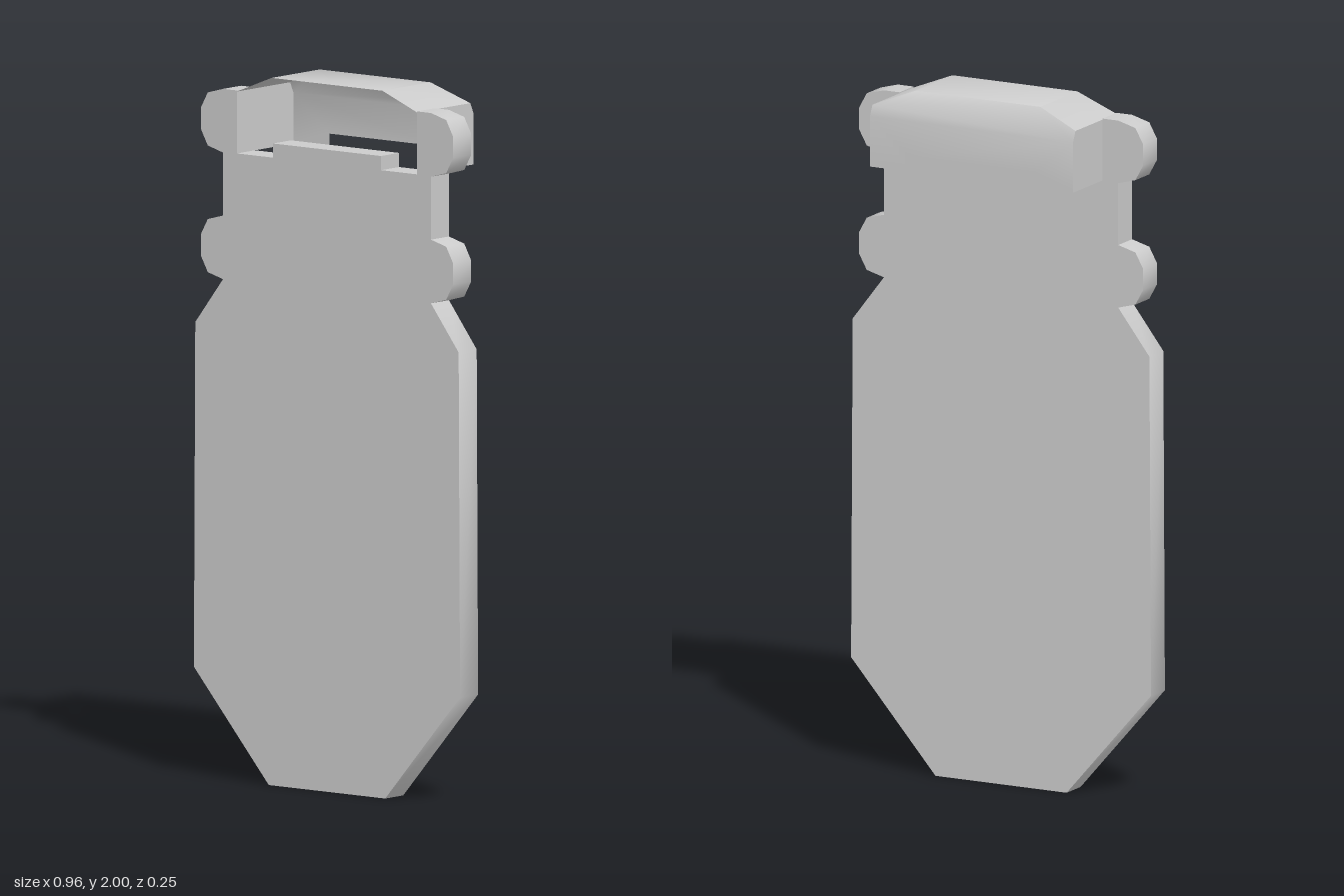
import * as THREE from 'three';
import { mergeGeometries, toCreasedNormals } from 'three/addons/utils/BufferGeometryUtils.js';

const FRONT = 0.125, PLATE_BACK = 0.045;

// Closed symmetric shape from the points of its +x half
function mirroredShape(half) {
  const pts = half.map(([x, y]) => new THREE.Vector2(x, y));
  const left = half.slice().reverse().map(([x, y]) => new THREE.Vector2(-x, y));
  return new THREE.Shape([...pts, ...left]);
}

// Depth of the hood's rear surface: upright wall, then a bevel leaning forward
const rearZ = (y) => -0.125 + Math.max(0, y - 1.92) * 0.46;

// Rear-facing sheet whose vertices follow rearZ
function rearSheet(half) {
  const g = new THREE.ShapeGeometry(mirroredShape(half)).rotateY(Math.PI).toNonIndexed();
  const p = g.attributes.position;
  for (let i = 0; i < p.count; i++) p.setZ(i, rearZ(p.getY(i)));
  g.deleteAttribute('uv');
  g.deleteAttribute('normal');
  return g;
}

// Side walls and roof: the arch profile swept from front to rear
function archSheet() {
  const profile = [[-0.325, 1.775], [-0.325, 1.92], [-0.325, 1.95], [-0.2, 2],
    [0.2, 2], [0.325, 1.95], [0.325, 1.92], [0.325, 1.775]];
  const v = [];
  for (let i = 0; i < profile.length - 1; i++) {
    const [x0, y0] = profile[i], [x1, y1] = profile[i + 1];
    const front = x0 === x1 ? PLATE_BACK : FRONT; // walls start behind the plate
    const a = [x0, y0, front], b = [x1, y1, front];
    const c = [x1, y1, rearZ(y1)], d = [x0, y0, rearZ(y0)];
    v.push(...a, ...b, ...c, ...a, ...c, ...d);
  }
  const g = new THREE.BufferGeometry();
  g.setAttribute('position', new THREE.Float32BufferAttribute(v, 3));
  return g;
}

export function createModel() {
  const group = new THREE.Group();
  const solid = new THREE.MeshStandardMaterial({ color: 0xcccccc });
  const sheet = new THREE.MeshStandardMaterial({ color: 0xcccccc, side: THREE.DoubleSide });

  // Flat plate: pointed body, two pairs of rounded lobes, open slot with a tab on top
  const lobe = (y) => [[0.375, y - 0.09], [0.43, y - 0.075], [0.455, y - 0.03],
    [0.455, y + 0.03], [0.43, y + 0.075], [0.375, y + 0.09]];
  const outline = [[0.21, 0], [0.48, 0.31], [0.475, 1.285], [0.375, 1.415],
    ...lobe(1.505), ...lobe(1.863),
    [0.325, 1.953], [0.325, 1.775], [0.195, 1.775], [0.195, 1.815]];
  const plateGeo = new THREE.ExtrudeGeometry(mirroredShape(outline),
    { depth: FRONT - PLATE_BACK, bevelEnabled: false }).translate(0, 0, PLATE_BACK);
  const plate = new THREE.Mesh(toCreasedNormals(plateGeo, 0.85), solid);
  plate.name = 'plate';
  group.add(plate);

  // Thin hood behind the slot, open at the front and below, rear wall notched
  const hoodGeo = mergeGeometries([
    archSheet(),
    rearSheet([[0.195, 1.815], [0.195, 1.775], [0.325, 1.775], [0.325, 1.92]]),
    rearSheet([[0.325, 1.92], [0.325, 1.95], [0.2, 2]]),
  ]);
  const hood = new THREE.Mesh(toCreasedNormals(hoodGeo, 1.16), sheet);
  hood.name = 'hood';
  group.add(hood);

  return group;
}
